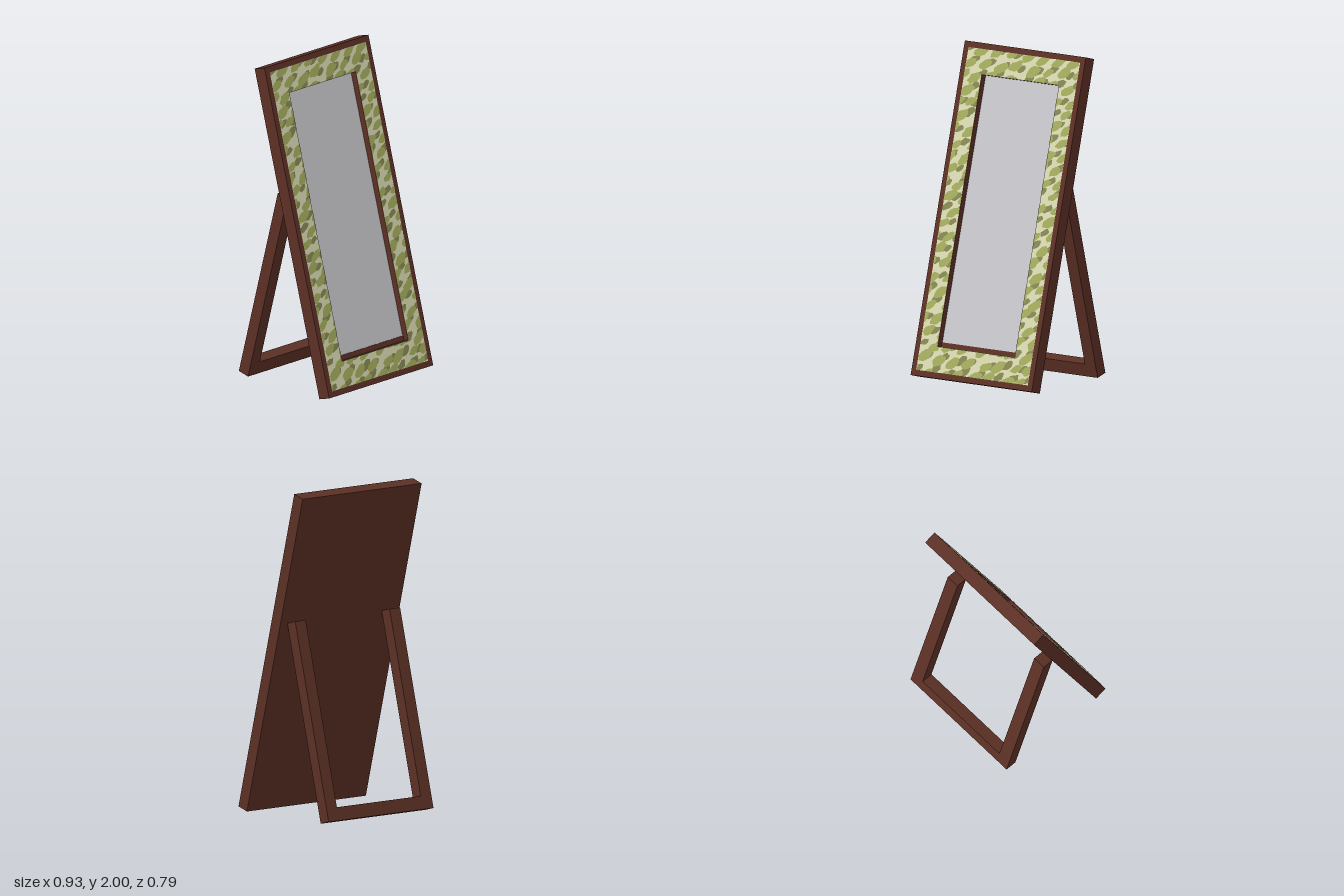
import * as THREE from 'three';

const mat = (name, color, extra = {}) => {
  const m = new THREE.MeshStandardMaterial({ color, ...extra });
  m.name = name;
  return m;
};

// Path round a rectangle, used for both outlines and holes
function rect(Type, x0, y0, x1, y1) {
  return new Type([[x0, y0], [x1, y0], [x1, y1], [x0, y1]].map(p => new THREE.Vector2(...p)));
}

function add(parent, name, geometry, material, z = 0) {
  const mesh = new THREE.Mesh(geometry, material);
  mesh.name = name;
  mesh.position.z = z;
  parent.add(mesh);
  return mesh;
}

function seeded(seed) {
  return () => {
    seed = (seed * 16807) % 2147483647;
    return seed / 2147483647;
  };
}

const TILT = Math.PI / 12;
const W = 0.465, H = 2.048, D = 0.083;        // leaning board
const RIM = 0.036;                            // bare wooden rim
const MX = 0.297, M0 = 0.193, M1 = 1.857;     // mirror opening
const RECESS = 0.041;

// Slanted ragged patches, trimmed to the four strips round the mirror
function patches(seed, dx, dy, size) {
  const rnd = seeded(seed);
  const px = W - RIM, top = H - RIM;
  const strips = [
    [-px, RIM, px, M0], [-px, M1, px, top],
    [-px, M0, -MX, M1], [MX, M0, px, M1],
  ];
  const clamp = THREE.MathUtils.clamp;
  const shapes = [];
  let row = 0;
  for (let y = RIM; y < top + 0.04; y += 0.082, row++) {
    for (let x = -px - 0.02; x < px + 0.06; x += 0.118) {
      const cx = x + dx + (row % 2) * 0.055 + (rnd() - 0.5) * 0.035;
      const cy = y + dy + (rnd() - 0.5) * 0.03;
      const rx = size * (0.8 + rnd() * 0.4), ry = rx * 0.62;
      const outline = [];
      for (let i = 0; i < 12; i++) {
        const a = i / 12 * Math.PI * 2, r = 0.82 + rnd() * 0.36;
        const u = Math.cos(a) * rx * r, v = Math.sin(a) * ry * r;
        outline.push([cx + u, cy + v + u * 0.4]);
      }
      for (const [x0, y0, x1, y1] of strips) {
        const pts = outline.map(([u, v]) => new THREE.Vector2(clamp(u, x0, x1), clamp(v, y0, y1)));
        if (Math.abs(THREE.ShapeUtils.area(pts)) < 0.0002) continue;
        shapes.push(new THREE.Shape(pts.filter((p, i) => p.distanceTo(pts[(i + 1) % 12]) > 1e-5)));
      }
    }
  }
  return new THREE.ShapeGeometry(shapes);
}

export function createModel() {
  const wood = mat('dark wood', 0x5c3025);
  const glass = mat('mirror grey', 0xc8c8cc);
  const cream = mat('pale cream', 0xd9d9b2, { side: THREE.DoubleSide });
  const lime = mat('leaf green', 0xa3ad5c, { side: THREE.DoubleSide });
  const olive = mat('olive', 0x868852, { side: THREE.DoubleSide });

  const model = new THREE.Group();
  model.name = 'standingMirror';

  // Board leaning back
  const board = new THREE.Group();
  board.name = 'mirrorBoard';
  board.position.set(0, 0, 0.315);
  board.rotation.x = -TILT;
  model.add(board);

  const back = new THREE.BoxGeometry(2 * W, H, D - RECESS).translate(0, H / 2, (D - RECESS) / 2);
  add(board, 'backPanel', back, wood);

  const surround = rect(THREE.Shape, -W, 0, W, H);
  surround.holes.push(rect(THREE.Path, -MX, M0, MX, M1));
  add(board, 'frame', new THREE.ExtrudeGeometry(surround, { depth: RECESS, bevelEnabled: false }), wood, D - RECESS);

  // Mirror sheet with a small wooden fillet under it
  const sheet = new THREE.PlaneGeometry(2 * MX, M1 - M0).translate(0, (M0 + M1) / 2, 0);
  add(board, 'mirror', sheet, glass, D - RECESS + 0.001);
  const fillet = new THREE.BoxGeometry(2 * MX, 0.03, 0.006).translate(0, M0 + 0.015, 0.003);
  add(board, 'mirrorLedge', fillet, wood, D - RECESS);

  // Patterned border
  const band = rect(THREE.Shape, -W + RIM, RIM, W - RIM, H - RIM);
  band.holes.push(rect(THREE.Path, -MX, M0, MX, M1));
  add(board, 'border', new THREE.ShapeGeometry(band), cream, D + 0.001);
  add(board, 'olivePatches', patches(71, 0.045, 0.016, 0.036), olive, D + 0.002);
  add(board, 'greenPatches', patches(1307, 0, 0, 0.047), lime, D + 0.003);

  // U-shaped rear stand
  const stand = new THREE.Group();
  stand.name = 'rearStand';
  stand.position.set(0, 0.02, -0.395);
  stand.rotation.x = TILT;
  model.add(stand);
  const X = 0.41, B = 0.082, L = 1.229;
  const u = new THREE.Shape([
    [-X, 0], [X, 0], [X, L], [X - B, L], [X - B, B], [B - X, B], [B - X, L], [-X, L],
  ].map(p => new THREE.Vector2(...p)));
  add(stand, 'standLegs', new THREE.ExtrudeGeometry(u, { depth: 0.078, bevelEnabled: false }), wood);

  return model;
}
